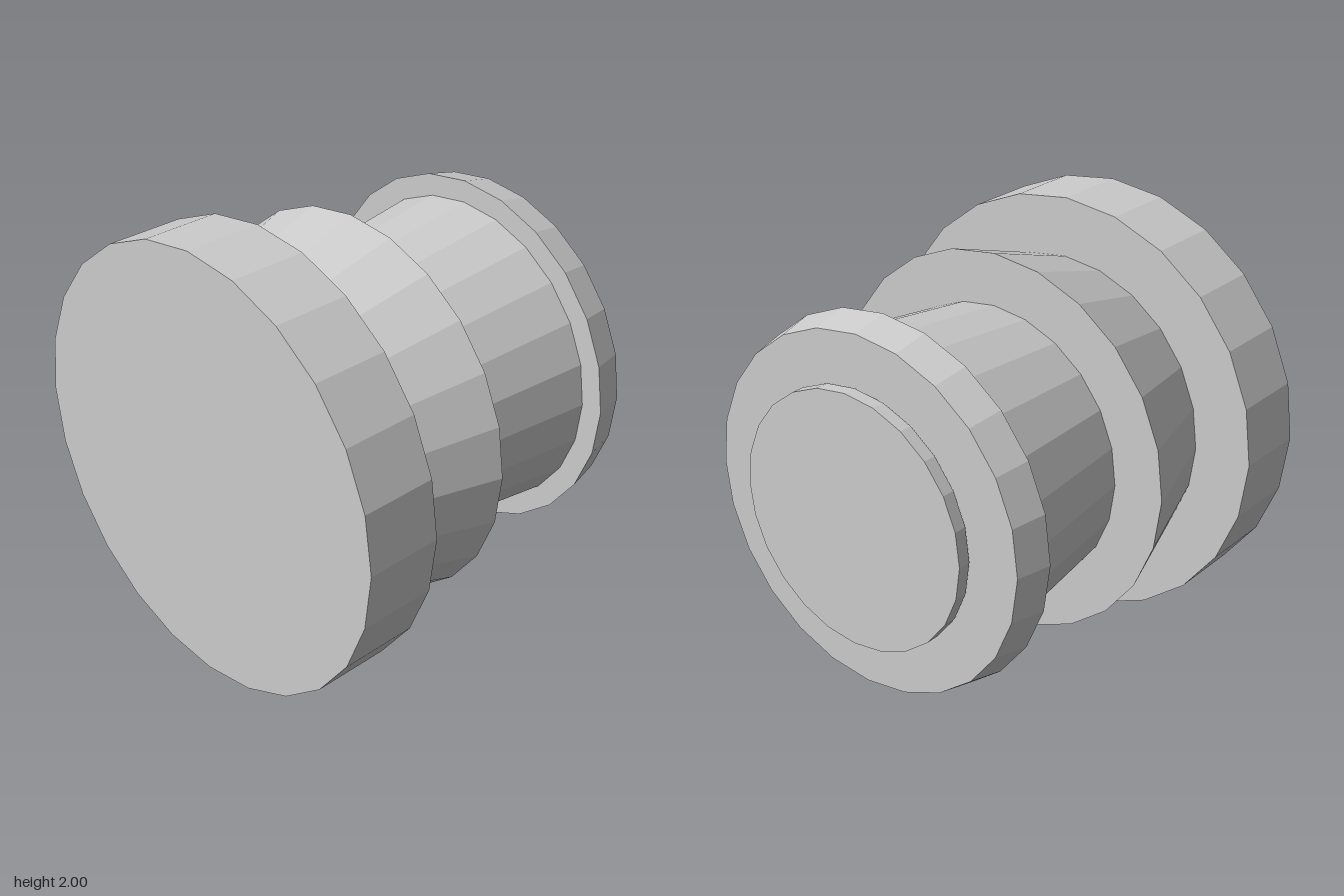
import * as THREE from 'three';

const SIDES = 24;

// Each section: name, start x, end x, radius at start, radius at end
const SECTIONS = [
  ['baseFlange', -0.9, -0.545, 1.0, 1.0],
  ['flaredCollar', -0.545, -0.037, 0.73, 0.887],
  ['taperedBarrel', -0.037, 0.661, 0.652, 0.735],
  ['frontRim', 0.661, 0.822, 0.836, 0.8],
  ['frontDisc', 0.836, 0.896, 0.575, 0.575], // stands just clear of the rim
];

export function createModel() {
  const group = new THREE.Group();
  group.name = 'steppedBarrel';
  const material = new THREE.MeshStandardMaterial({ color: 0xcccccc, flatShading: true });

  // Capped sections lined up along the x axis
  for (const [name, x0, x1, r0, r1] of SECTIONS) {
    const geometry = new THREE.CylinderGeometry(r1, r0, x1 - x0, SIDES);
    geometry.rotateZ(-Math.PI / 2);
    const mesh = new THREE.Mesh(geometry, material);
    mesh.name = name;
    mesh.position.set((x0 + x1) / 2, 1, 0);
    group.add(mesh);
  }
  return group;
}
